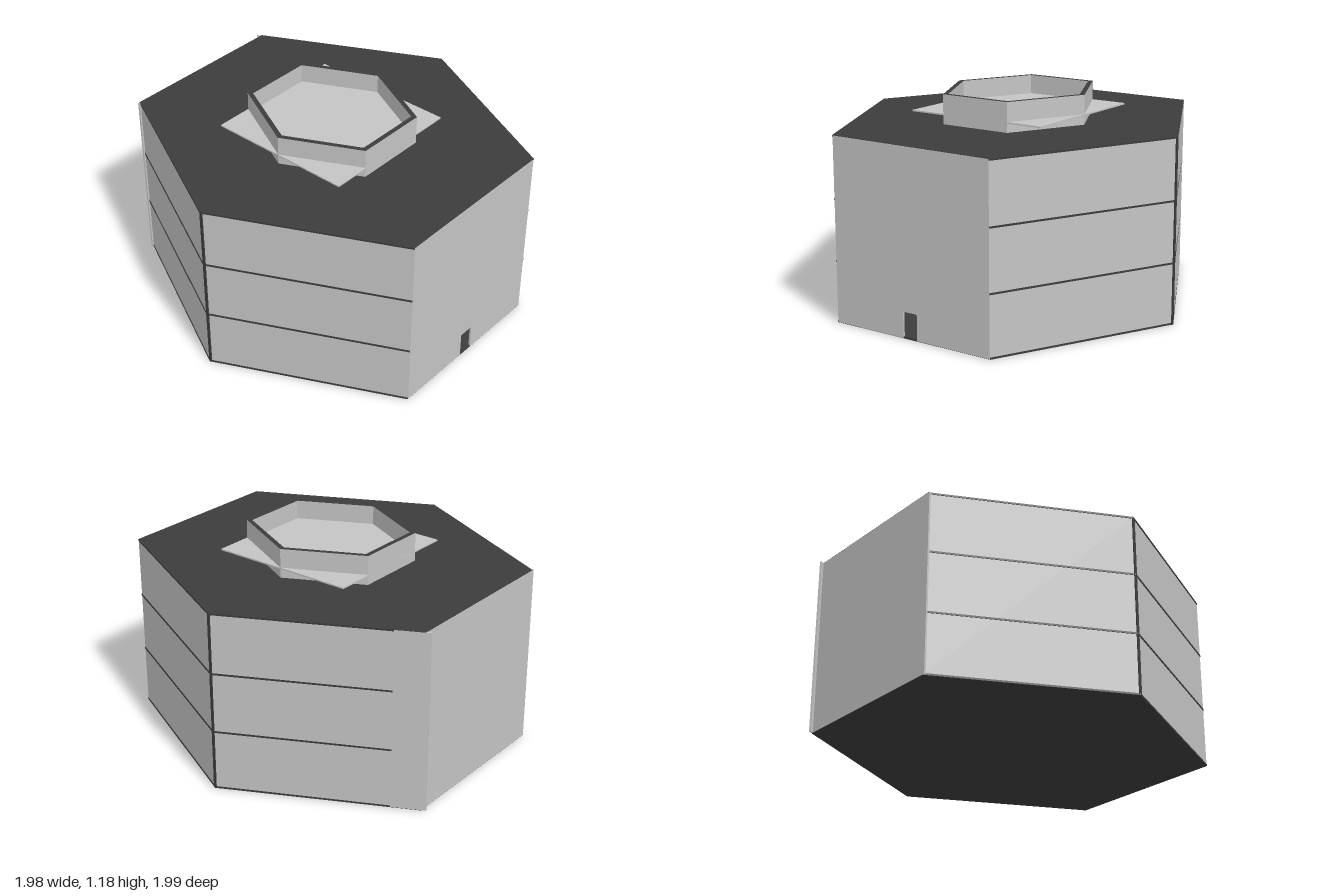
import * as THREE from 'three';

const wallMat = new THREE.MeshStandardMaterial({ color: 0xc4c4c4, side: THREE.DoubleSide });
wallMat.name = 'light grey wall';
const roofMat = new THREE.MeshStandardMaterial({ color: 0x3c3c3c });
roofMat.name = 'dark grey roof';

const shapeOf = (pts) => new THREE.Shape(pts.map(([x, y]) => new THREE.Vector2(x, y)));

// Horizontal slab whose outline is given as [x, z] points and whose top lies at y = top
function slab(name, shape, top, thickness, material) {
  const geo = new THREE.ExtrudeGeometry(shape, { depth: thickness, bevelEnabled: false });
  geo.rotateX(Math.PI / 2);
  const mesh = new THREE.Mesh(geo, material);
  mesh.name = name;
  mesh.position.y = top;
  return mesh;
}

// Thin upright wall from p to q (left to right seen from outside), optionally with a doorway
function wall(name, p, q, extra = 0, door = false) {
  const dx = q[0] - p[0], dz = q[1] - p[1];
  const length = Math.hypot(dx, dz) + extra;
  const bottom = 0.002, height = 1.018;
  const outline = [[0, bottom]];
  if (door) outline.push([0.45, bottom], [0.45, 0.145], [0.54, 0.145], [0.54, bottom]);
  outline.push([length, bottom], [length, height], [0, height]);
  const geo = new THREE.ExtrudeGeometry(shapeOf(outline), { depth: 0.01, bevelEnabled: false });
  geo.translate(0, 0, -0.01);
  const mesh = new THREE.Mesh(geo, wallMat);
  mesh.name = name;
  mesh.position.set(p[0], 0, p[1]);
  mesh.rotation.y = Math.atan2(-dz, dx);
  return mesh;
}

export function createModel() {
  const model = new THREE.Group();
  model.name = 'hexagonalBuilding';

  // Six outer walls
  const FL = [-0.5, 0.995], FR = [0.5, 0.995], R = [0.985, 0.005];
  const BR = [0.49, -0.975], BL = [-0.495, -0.975], L = [-0.985, 0.005];
  model.add(
    wall('frontWall', FL, FR, 0, true),
    wall('frontLeftWall', FR, R),
    wall('backLeftWall', R, BR, 0.028),
    wall('backWall', BR, BL, 0.015),
    wall('backRightWall', BL, L),
    wall('frontRightWall', L, FL),
  );

  // Ground floor, two upper floors and roof, just showing through the side walls
  const plan = shapeOf([
    [-0.504, 0.994], [0.504, 0.994], [0.988, 0.005],
    [0.49, -0.974], [-0.499, -0.974], [-0.989, 0.005],
  ]);
  [['groundFloor', 0.01], ['firstFloor', 0.345], ['secondFloor', 0.683], ['roof', 1.02]]
    .forEach(([name, top]) => model.add(slab(name, plan, top, 0.01, roofMat)));

  // Dark seams at the two side corners
  for (const side of [-1, 1]) {
    const seam = new THREE.Mesh(new THREE.BoxGeometry(0.01, 1.015, 0.016), roofMat);
    seam.name = side > 0 ? 'leftCornerSeam' : 'rightCornerSeam';
    seam.position.set(side * 0.982, 0.5075, 0.007);
    model.add(seam);
  }

  // Hexagonal roof parapet with a dark rim
  const hexagon = (x, z) => [
    [-x / 2, z], [x / 2, z], [x, 0], [x / 2, -z], [-x / 2, -z], [-x, 0],
  ];
  const ring = shapeOf(hexagon(0.42, 0.42));
  ring.holes.push(shapeOf(hexagon(0.39, 0.393)));
  const parapet = slab('roofParapet', ring, 1.183, 0.165, [roofMat, wallMat]);
  parapet.position.z = 0.013;
  model.add(parapet);

  // Square deck passing through the parapet
  const deck = new THREE.Mesh(new THREE.BoxGeometry(0.842, 0.008, 0.842), wallMat);
  deck.name = 'roofDeck';
  deck.position.set(0, 1.073, 0.013);
  model.add(deck);

  return model;
}
